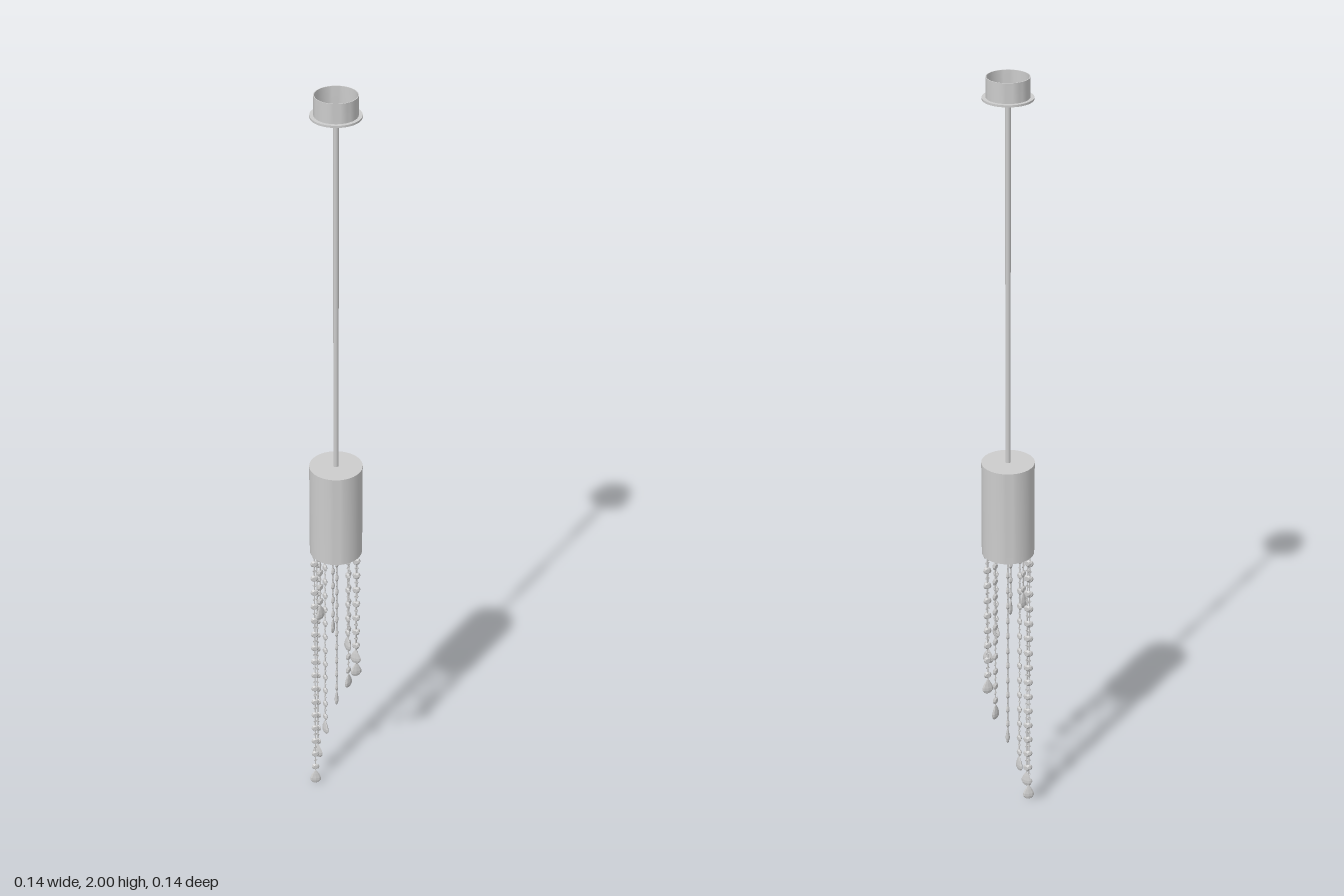
import * as THREE from 'three';
import { mergeGeometries, toCreasedNormals } from 'three/addons/utils/BufferGeometryUtils.js';

const smooth = new THREE.MeshStandardMaterial({ color: 0xcccccc, side: THREE.DoubleSide });
const faceted = new THREE.MeshStandardMaterial({ color: 0xcccccc, flatShading: true });

const points = (pairs) => pairs.map(([x, y]) => new THREE.Vector2(x, y));

function mesh(name, geometry, material = smooth) {
  const m = new THREE.Mesh(geometry, material);
  m.name = name;
  return m;
}

// Round part with sharp edges from a radius/height profile
function turned(name, profile, segments = 40) {
  return mesh(name, toCreasedNormals(new THREE.LatheGeometry(points(profile), segments), 0.6));
}

// Flat eight-sided crystal standing in the radial plane
function beadGeometry(radius, depth) {
  return new THREE.LatheGeometry(points([
    [0, -depth], [radius * 0.6, -depth], [radius, 0], [radius * 0.6, depth], [0, depth],
  ]), 8).rotateX(Math.PI / 2);
}

// Flattened teardrop, its lowest point at y = 0
function dropGeometry() {
  return new THREE.LatheGeometry(points([
    [0, 0], [0.009, 0.003], [0.0145, 0.011], [0.0145, 0.019], [0.009, 0.032], [0.003, 0.042], [0, 0.043],
  ]), 8).scale(1, 1, 0.36);
}

// One string of crystals ending in a drop
function strand(bottom, angle) {
  const top = 0.79, start = bottom + 0.043, spacing = 0.0445;
  const parts = [
    dropGeometry().translate(0, bottom, 0),
    new THREE.CylinderGeometry(0.0018, 0.0018, top - start, 6).translate(0, (top + start) / 2, 0),
  ];
  for (let y = start + 0.014; y < top - 0.006; y += spacing) {
    parts.push(beadGeometry(0.0105, 0.004).translate(0, y, 0));
    // small connecting ring between neighbouring crystals
    if (y + spacing / 2 < top) {
      parts.push(new THREE.TorusGeometry(0.0038, 0.0012, 4, 8).translate(0, y + spacing / 2, 0));
    }
  }
  const m = mesh('crystalStrand', mergeGeometries(parts), faceted);
  m.position.set(0.055 * Math.cos(angle), 0, 0.055 * Math.sin(angle));
  m.rotation.y = -angle;
  return m;
}

export function createModel() {
  const model = new THREE.Group();
  model.name = 'pendantLamp';

  // Ceiling canopy: open cup on a thin flange
  model.add(turned('canopy', [
    [0, 1.947], [0.06, 1.947], [0.06, 1.952], [0.051, 1.952], [0.051, 2],
    [0.049, 2], [0.049, 1.953], [0, 1.953],
  ]));

  // Suspension rod
  const rod = mesh('rod', new THREE.CylinderGeometry(0.0065, 0.0065, 0.935, 16));
  rod.position.y = 1.4825;
  model.add(rod);

  // Cylindrical shade, closed above and open below
  model.add(turned('shade', [
    [0.061, 1.013], [0.061, 0.765], [0.066, 0.765], [0.066, 1.018], [0, 1.018],
  ], 48));

  // Plate carrying the strands and the lamp
  const plate = mesh('strandPlate', new THREE.CylinderGeometry(0.061, 0.061, 0.006, 40));
  plate.position.y = 0.792;
  model.add(plate);
  model.add(turned('lampHolder', [
    [0, 0.756], [0.028, 0.756], [0.036, 0.764], [0.036, 0.79],
  ], 32));

  // Strands climb in a spiral around the rim
  const bottoms = [0, 0.065, 0.13, 0.225, 0.29, 0.35, 0.42, 0.482, 0.547, 0.575];
  const degrees = [177, 210, 241, 274, 309, 346, 24, 59, 100, 138];
  const strands = new THREE.Group();
  strands.name = 'crystalStrands';
  bottoms.forEach((b, i) => strands.add(strand(b, THREE.MathUtils.degToRad(degrees[i]))));
  model.add(strands);

  return model;
}
